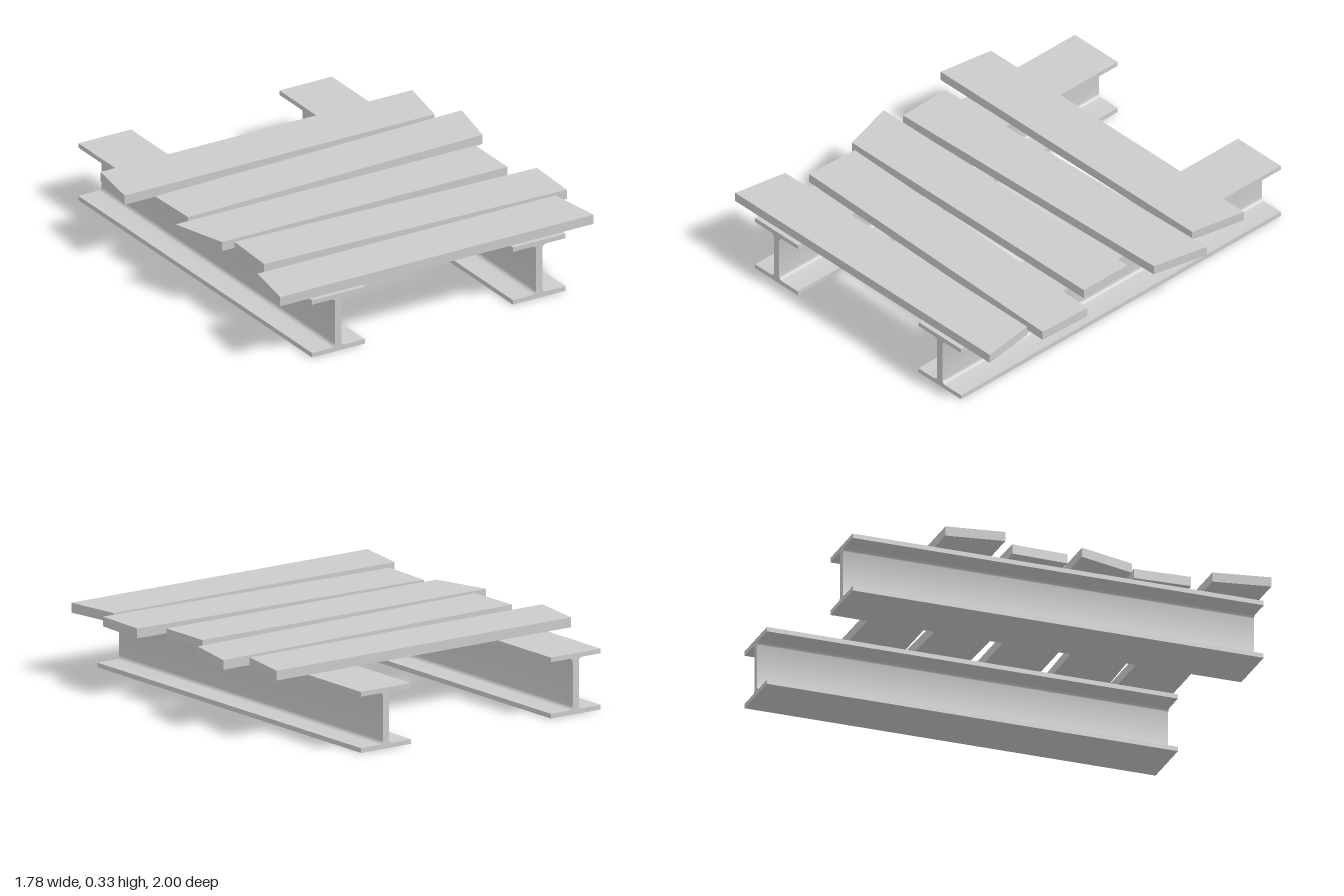
import * as THREE from 'three';
import { toCreasedNormals } from 'three/addons/utils/BufferGeometryUtils.js';

const material = new THREE.MeshStandardMaterial({ color: 0xcccccc });

const BEAM = { height: 0.285, half: 0.141, flange: 0.022, web: 0.017, fillet: 0.022, length: 2 };
const PLANK_THICKNESS = 0.046;

// I-shaped section with rounded corners between web and flanges
function beamSection() {
  const { height: h, half: w, flange: t, web: b, fillet: r } = BEAM;
  const s = new THREE.Shape();
  s.moveTo(-w, 0);
  s.lineTo(w, 0);
  s.lineTo(w, t);
  s.lineTo(b + r, t);
  s.quadraticCurveTo(b, t, b, t + r);
  s.lineTo(b, h - t - r);
  s.quadraticCurveTo(b, h - t, b + r, h - t);
  s.lineTo(w, h - t);
  s.lineTo(w, h);
  s.lineTo(-w, h);
  s.lineTo(-w, h - t);
  s.lineTo(-b - r, h - t);
  s.quadraticCurveTo(-b, h - t, -b, h - t - r);
  s.lineTo(-b, t + r);
  s.quadraticCurveTo(-b, t, -b - r, t);
  s.lineTo(-w, t);
  s.closePath();
  return s;
}

// Board cut to a four-cornered outline given as [x, z] pairs
function plankGeometry(corners) {
  const shape = new THREE.Shape(corners.map(([x, z]) => new THREE.Vector2(x, -z)));
  const geometry = new THREE.ExtrudeGeometry(shape, { depth: PLANK_THICKNESS, bevelEnabled: false });
  return geometry.rotateX(-Math.PI / 2);
}

export function createModel() {
  const model = new THREE.Group();
  model.name = 'plankPlatform';

  // Two steel beams running front to back
  const extruded = new THREE.ExtrudeGeometry(beamSection(), {
    depth: BEAM.length, bevelEnabled: false, curveSegments: 5,
  }).translate(0, 0, -BEAM.length / 2);
  const beamGeometry = toCreasedNormals(extruded, 0.7);
  for (const [name, x] of [['rightBeam', -0.58], ['leftBeam', 0.495]]) {
    const beam = new THREE.Mesh(beamGeometry, material);
    beam.name = name;
    beam.position.x = x;
    model.add(beam);
  }

  // Roughly cut planks laid across, back to front
  const outlines = [
    [[-0.853, -0.6], [0.816, -0.6], [0.763, -0.325], [-0.895, -0.325]],
    [[-0.782, -0.246], [0.89, -0.296], [0.83, -0.021], [-0.774, 0.024]],
    [[-0.864, 0.06], [0.742, 0.06], [0.742, 0.333], [-0.787, 0.333]],
    [[-0.737, 0.362], [0.85, 0.412], [0.84, 0.684], [-0.75, 0.636]],
    [[-0.83, 0.708], [0.763, 0.708], [0.8, 0.977], [-0.877, 0.977]],
  ];
  const planks = new THREE.Group();
  planks.name = 'planks';
  planks.position.y = BEAM.height;
  outlines.forEach((corners, i) => {
    const plank = new THREE.Mesh(plankGeometry(corners), material);
    plank.name = `plank${i + 1}`;
    planks.add(plank);
  });
  model.add(planks);

  return model;
}
